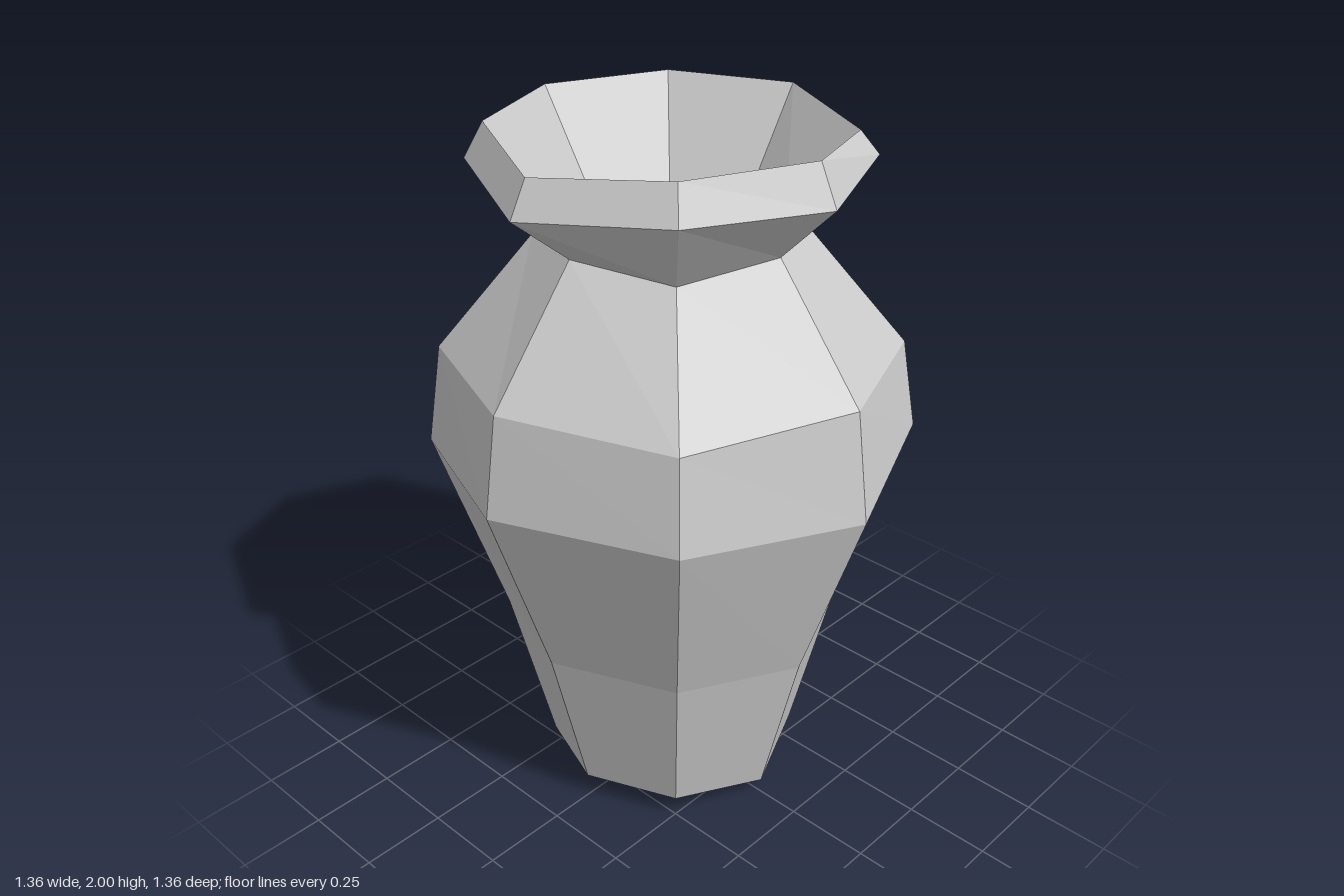
import * as THREE from 'three';

const SIDES = 8;

// Height shifts of the eight corners, starting at the front and turning towards +x
const LEVEL = [0, 0, 0, 0, 0, 0, 0, 0];
const BODY = [0, 0, -0.03, 0, 0.05, 0, 0, -0.03];
const SHOULDER = [0, -0.02, 0, -0.02, 0, -0.02, 0, -0.02];
const NECK = [0, -0.03, 0, -0.03, 0, -0.03, 0, -0.03];
const LIP = [-0.03, 0, -0.015, 0, 0, 0, 0, 0];
const RIM = [-0.03, 0, 0, -0.03, 0, 0, 0, 0];

// Rings from the base up the outside and down into the mouth:
// radius, height, corner shifts, extra radius at the front corner
const RINGS = [
  [0, 0, LEVEL, 0],
  [0.235, 0.005, LEVEL, 0],
  [0.37, 0.075, BODY, 0],
  [0.49, 0.565, BODY, 0],
  [0.68, 1.122, BODY, 0],
  [0.635, 1.4, SHOULDER, 0],
  [0.367, 1.73, NECK, 0],
  [0.53, 1.905, LIP, 0.018],
  [0.477, 2.0, RIM, 0.018],
  [0.295, 1.71, LEVEL, 0],
  [0, 1.1, LEVEL, 0],
];

export function createModel() {
  const profile = RINGS.map(([r, y]) => new THREE.Vector2(r, y));
  const lathe = new THREE.LatheGeometry(profile, SIDES);
  const pos = lathe.attributes.position;

  // Hand-shaped unevenness of each ring
  for (let side = 0; side <= SIDES; side++) {
    RINGS.forEach(([, y, shifts, bulge], ring) => {
      const i = side * RINGS.length + ring;
      const corner = side % SIDES;
      pos.setY(i, y + shifts[corner]);
      if (corner === 0) pos.setZ(i, pos.getZ(i) + bulge);
    });
  }

  const geometry = lathe.toNonIndexed();
  geometry.computeVertexNormals();

  const vase = new THREE.Mesh(
    geometry,
    new THREE.MeshStandardMaterial({ color: 0xcccccc, flatShading: true })
  );
  vase.name = 'vase';

  const model = new THREE.Group();
  model.name = 'facetedVase';
  model.add(vase);
  return model;
}
